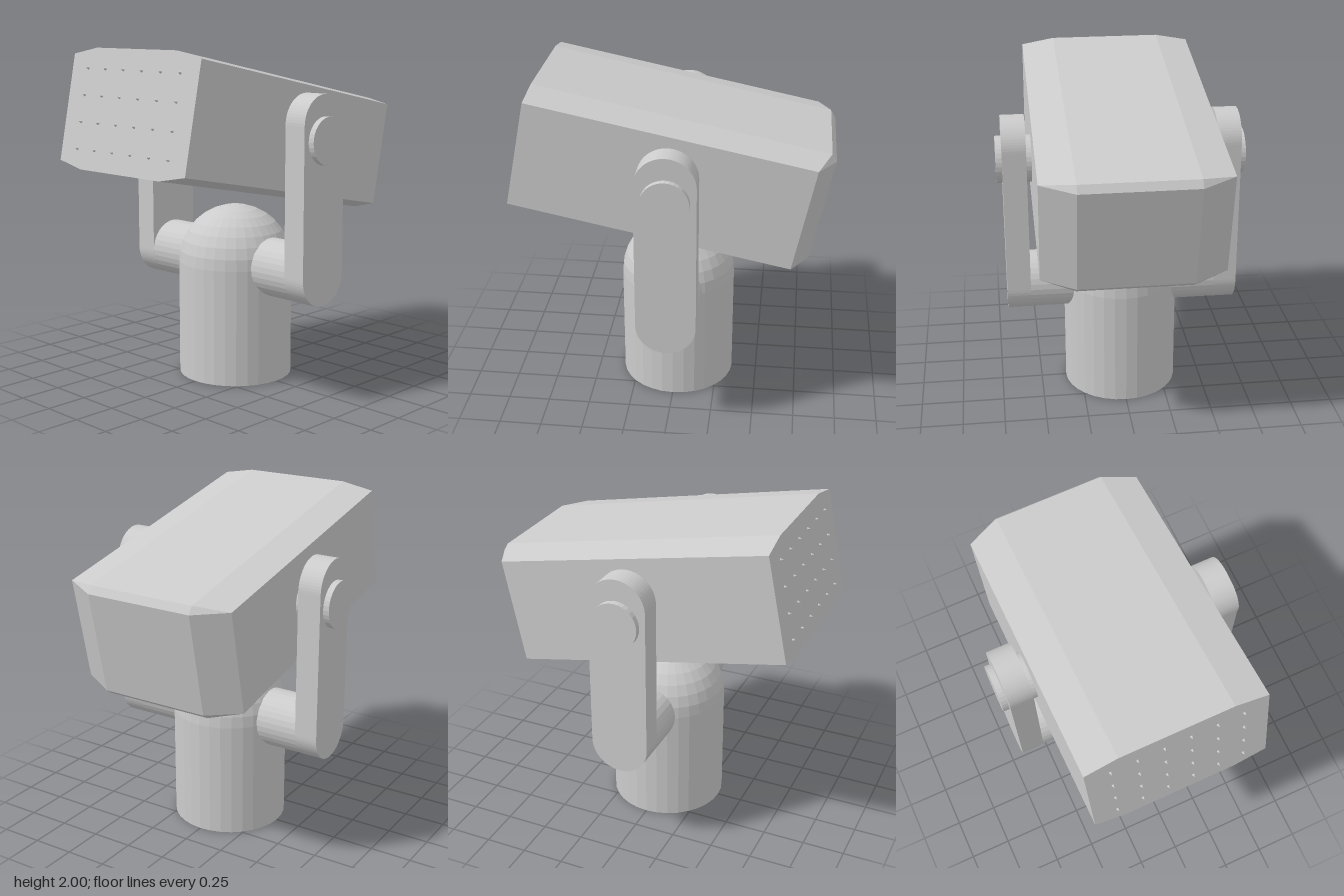
import * as THREE from 'three';
import { ConvexGeometry } from 'three/addons/geometries/ConvexGeometry.js';

const SIDES = 32;
const PIVOT_Y = 1.485, SHAFT_Y = 0.703, ARM_R = 0.173;

export function createModel() {
  const model = new THREE.Group();
  model.name = 'turret';
  const material = new THREE.MeshStandardMaterial({ color: 0xcccccc, flatShading: true });

  function add(parent, name, geometry, x = 0, y = 0, z = 0) {
    const mesh = new THREE.Mesh(geometry, material);
    mesh.name = name;
    mesh.position.set(x, y, z);
    parent.add(mesh);
    return mesh;
  }

  // Domed pedestal, closed underneath
  const profile = [new THREE.Vector2(0, 0), new THREE.Vector2(0.345, 0)];
  for (let i = 0; i <= 8; i++) {
    const a = (i / 8) * Math.PI / 2;
    profile.push(new THREE.Vector2(i === 8 ? 0 : 0.345 * Math.cos(a), 0.7 + 0.345 * Math.sin(a)));
  }
  add(model, 'pedestal', new THREE.LatheGeometry(profile, SIDES));

  // Cross shaft through the pedestal
  const shaft = new THREE.CylinderGeometry(ARM_R, ARM_R, 1.12, SIDES).rotateX(Math.PI / 2);
  add(model, 'crossShaft', shaft, 0, SHAFT_Y, 0);

  // Round-ended arms and pivot pins, one per side
  const outline = new THREE.Shape();
  outline.absarc(0, 1.577, ARM_R, 0, Math.PI, false);
  outline.absarc(0, SHAFT_Y, ARM_R, Math.PI, Math.PI * 2, false);
  outline.closePath();
  const armGeometry = new THREE.ExtrudeGeometry(outline, { depth: 0.14, bevelEnabled: false, curveSegments: 16 });
  armGeometry.translate(0, 0, -0.07);
  const pinGeometry = new THREE.CylinderGeometry(0.138, 0.138, 0.25, SIDES).rotateX(Math.PI / 2);
  for (const [side, s] of [['front', 1], ['back', -1]]) {
    add(model, side + 'Arm', armGeometry, 0, 0, s * 0.627);
    add(model, side + 'PivotPin', pinGeometry, 0, PIVOT_Y + 0.002, s * 0.608);
  }

  // Tilted launcher housing
  const launcher = new THREE.Group();
  launcher.name = 'launcher';
  launcher.position.y = PIVOT_Y;
  launcher.rotation.z = -0.201;
  model.add(launcher);

  // Chamfered box: mirrored corners, with a tapered end at +x
  const corners = [];
  for (const sy of [1, -1]) {
    for (const sz of [1, -1]) {
      for (const [x, y, z] of [
        [-0.87, 0.31, 0.525], [-0.87, 0.348, 0.33],
        [0.767, 0.31, 0.525], [0.835, 0.348, 0.33], [0.87, 0.31, 0.33],
      ]) corners.push(new THREE.Vector3(x, sy * y, sz * z));
    }
  }
  add(launcher, 'housing', new ConvexGeometry(corners));

  // Grid of nose cones whose tips just pierce the open end
  const nose = new THREE.ConeGeometry(0.055, 0.1, 12).rotateZ(Math.PI / 2);
  for (let row = 0; row < 4; row++) {
    for (let col = 0; col < 6; col++) {
      add(launcher, 'noseCone', nose, -0.837, (row - 1.5) * 0.154, (col - 2.5) * 0.153);
    }
  }

  return model;
}
